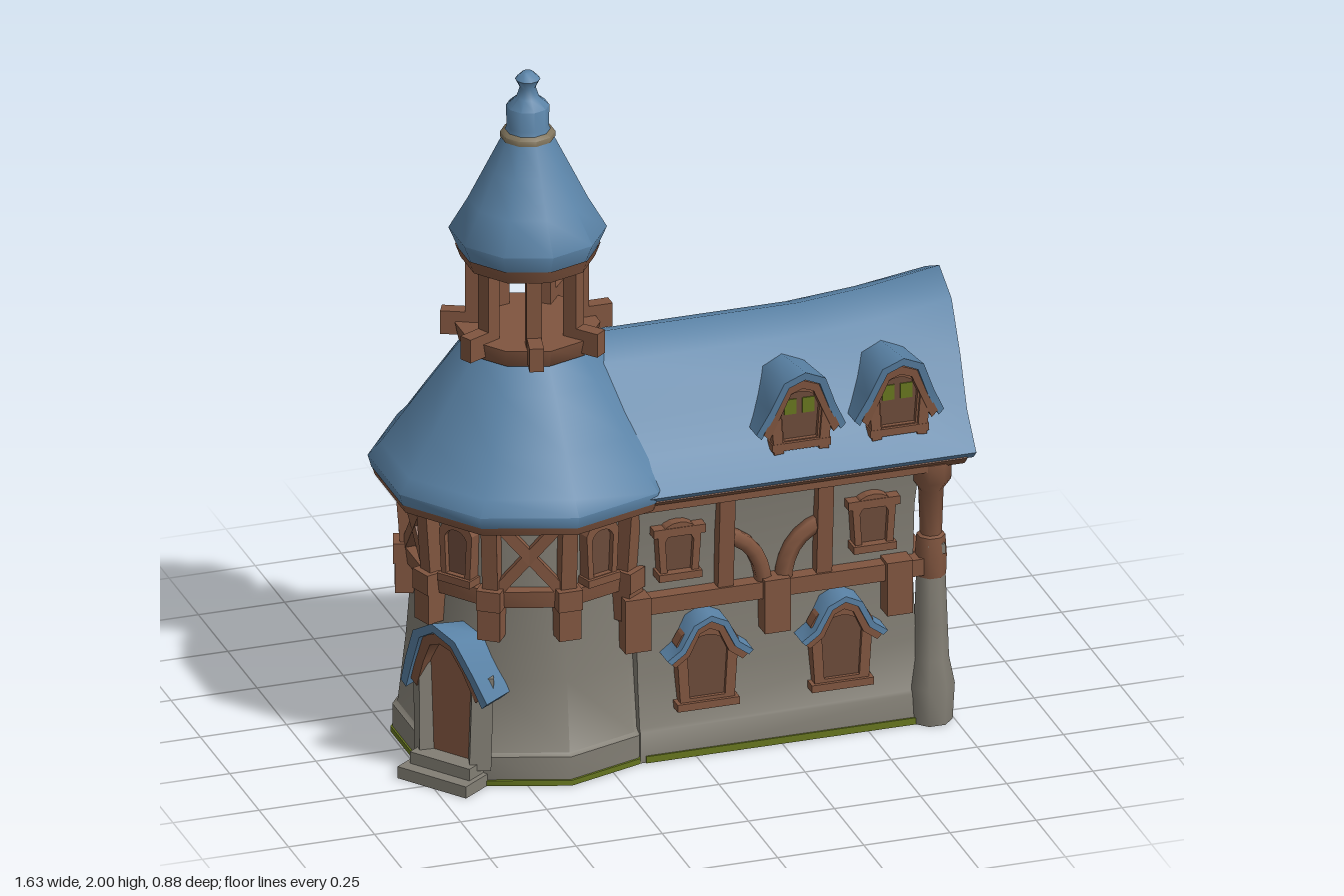
import * as THREE from 'three';
import { toCreasedNormals } from 'three/addons/utils/BufferGeometryUtils.js';

const mat = (name, color) => {
  const m = new THREE.MeshStandardMaterial({ color, side: THREE.DoubleSide });
  m.name = name;
  return m;
};
const slate = mat('blue slate', 0x5b84a8);
const timber = mat('brown timber', 0x80553f);
const pane = mat('dark wood', 0x6b4a3a);
const stone = mat('grey stone', 0x827e74);
const moss = mat('green moss', 0x66751f);
const rope = mat('tan band', 0x80745c);

const TX = -0.385; // tower axis
const CREASE = 1.0;

function add(parent, name, geo, m, x = 0, y = 0, z = 0) {
  const mesh = new THREE.Mesh(geo, m);
  mesh.name = name;
  mesh.position.set(x, y, z);
  parent.add(mesh);
  return mesh;
}
const box = (parent, name, w, h, d, m, x, y, z) => add(parent, name, new THREE.BoxGeometry(w, h, d), m, x, y, z);

function group(parent, name, x = 0, y = 0, z = 0, turn = 0) {
  const g = new THREE.Group();
  g.name = name;
  g.position.set(x, y, z);
  g.rotation.y = turn;
  parent.add(g);
  return g;
}

// Straight beam between two points of the parent's space
function beam(parent, name, a, b, w, d = w, m = timber) {
  const A = new THREE.Vector3(...a), B = new THREE.Vector3(...b);
  const mesh = new THREE.Mesh(new THREE.BoxGeometry(w, d, A.distanceTo(B)), m);
  mesh.name = name;
  mesh.position.copy(A).add(B).multiplyScalar(0.5);
  mesh.lookAt(B); // aimed before it gets a parent
  parent.add(mesh);
}

// Turned part, ten sides for the tower
function turned(parent, name, profile, m, x = TX, sides = 10) {
  const geo = new THREE.LatheGeometry(profile.map(([r, y]) => new THREE.Vector2(r, y)), sides);
  return add(parent, name, toCreasedNormals(geo, CREASE), m, x);
}

// Skin over a row of closed loops
function loft(rings, capped) {
  const n = rings[0].length, idx = [], last = (rings.length - 1) * n;
  for (let k = 0; k < rings.length - 1; k++) for (let i = 0; i < n; i++) {
    const a = k * n + i, b = k * n + (i + 1) % n;
    idx.push(a, b, b + n, a, b + n, a + n);
  }
  if (capped) for (let i = 0; i < n / 2 - 1; i++) {
    const q = [i, i + 1, n - 2 - i, n - 1 - i];
    idx.push(q[0], q[2], q[1], q[0], q[3], q[2]);
    const p = q.map(v => v + last);
    idx.push(p[0], p[1], p[2], p[0], p[2], p[3]);
  }
  const geo = new THREE.BufferGeometry();
  geo.setAttribute('position', new THREE.Float32BufferAttribute(rings.flat(2), 3));
  geo.setIndex(idx);
  return toCreasedNormals(geo, CREASE);
}

// Arched roof shell along z; stations are [z at eave, z at ridge, ridge lift]
function roof(parent, name, half, t, stations, m) {
  const mirror = pts => [...pts, ...pts.slice(0, -1).reverse().map(([x, y]) => [-x, y])];
  const inner = half.map(([x, y]) => (x ? [x - t * 0.7, y - t * 0.7] : [0, y - t]));
  const outline = [...mirror(half), ...mirror(inner).reverse()];
  const y0 = half[0][1], span = half[half.length - 1][1] - y0;
  const rings = stations.map(([z, zTop, lift]) => outline.map(([x, y]) => {
    const h = Math.max(0, (y - y0) / span);
    return [x, y + lift * h, z + (zTop - z) * h];
  }));
  return add(parent, name, loft(rings, true), m);
}

// Round-headed outline, standing on y = 0
function arch(w, h, Type = THREE.Shape) {
  const s = new Type(), r = w / 2;
  s.moveTo(-r * 0.86, 0);
  s.lineTo(r * 0.86, 0);
  s.lineTo(r, h - r * 0.7);
  s.quadraticCurveTo(r * 0.7, h, 0, h);
  s.quadraticCurveTo(-r * 0.7, h, -r, h - r * 0.7);
  s.closePath();
  return s;
}
const polygon = pts => new THREE.Shape(pts.map(p => new THREE.Vector2(...p)));
const slab = (shape, depth) => new THREE.ExtrudeGeometry(shape, { depth, bevelEnabled: false, curveSegments: 4 });

function windowUnit(parent, name, x, y, z, w, h, depth = 0.05) {
  const g = group(parent, name, x, y, z);
  const frame = arch(w, h);
  const hole = arch(w * 0.66, h * 0.72, THREE.Path).getPoints(4).map(p => p.add(new THREE.Vector2(0, h * 0.12)));
  frame.holes.push(new THREE.Path(hole));
  add(g, 'windowFrame', slab(frame, depth), timber);
  add(g, 'windowPane', slab(arch(w * 0.8, h * 0.9), 0.009), pane, 0, 0.01, depth * 0.5);
  box(g, 'windowSill', w, 0.022, depth + 0.02, timber, 0, 0.01, depth / 2);
  return g;
}

function buildTower(root) {
  const g = group(root, 'tower');
  turned(g, 'towerWall', [[0.372, 0], [0.372, 0.085], [0.358, 0.092], [0.335, 0.3], [0.318, 0.52], [0.33, 0.82]], stone);
  turned(g, 'towerMoss', [[0.377, 0], [0.377, 0.016], [0.368, 0.018]], moss);
  turned(g, 'towerBeltBeam', [[0.31, 0.525], [0.342, 0.525], [0.348, 0.575], [0.31, 0.58]], timber);
  turned(g, 'towerEaveBeam', [[0.31, 0.775], [0.42, 0.78], [0.43, 0.81]], timber);
  turned(g, 'towerRoof', [[0.43, 0.805], [0.44, 0.84], [0.405, 0.88], [0.335, 0.98], [0.235, 1.12], [0.175, 1.2]], slate);
  // Posts and brackets on the corners, windows and crossed braces in turn between them
  for (let k = 0; k < 10; k++) {
    if (k !== 2 && k !== 3) {
      const c = group(g, 'towerCorner', TX, 0, 0, k * Math.PI / 5);
      beam(c, 'towerPost', [0, 0.57, 0.328], [0, 0.79, 0.345], 0.045);
      box(c, 'towerBracket', 0.065, 0.13, 0.06, timber, 0, 0.5, 0.335);
      box(c, 'towerBeltKnot', 0.07, 0.06, 0.05, timber, 0, 0.555, 0.345);
    }
    if (k === 2) continue;
    const f = group(g, 'towerBay', TX, 0, 0, (k + 0.5) * Math.PI / 5);
    if (k % 2 === 0) windowUnit(f, 'towerWindow', 0, 0.58, 0.295, 0.11, 0.19);
    else for (const s of [-1, 1]) beam(f, 'crossBrace', [-0.085 * s, 0.58, 0.315], [0.085 * s, 0.78, 0.325], 0.032);
  }
  // Open belfry
  turned(g, 'belfryFloor', [[0.15, 1.17], [0.19, 1.19], [0.2, 1.24], [0, 1.24]], timber);
  for (let k = 0; k < 7; k++) {
    const c = group(g, 'belfryBay', TX, 0, 0, Math.PI / 2 + k * Math.PI * 2 / 7);
    beam(c, 'belfryPost', [0, 1.23, 0.15], [0, 1.46, 0.15], 0.042);
    box(c, 'belfryBracket', 0.04, 0.07, 0.07, timber, 0, 1.235, 0.205);
  }
  turned(g, 'belfryTopRing', [[0.13, 1.44], [0.185, 1.44], [0.2, 1.48]], timber);
  turned(g, 'spire', [[0, 1.475], [0.19, 1.465], [0.218, 1.53], [0.165, 1.62], [0.115, 1.72], [0.07, 1.81],
    [0.058, 1.84], [0.06, 1.9], [0.032, 1.925], [0.022, 1.955], [0.035, 1.98], [0.015, 2], [0, 2]], slate);
  turned(g, 'spireBand', [[0.065, 1.8], [0.076, 1.805], [0.076, 1.82], [0.06, 1.83]], rope);

  // Entrance with steps and hood
  const d = group(g, 'entrance', TX, 0, 0, -0.3 * Math.PI);
  box(d, 'lowerStep', 0.23, 0.035, 0.135, stone, 0, 0.0175, 0.39);
  box(d, 'upperStep', 0.2, 0.07, 0.1, stone, 0, 0.035, 0.37);
  for (const s of [-1, 1]) beam(d, 'doorJamb', [0.092 * s, 0.05, 0.36], [0.098 * s, 0.33, 0.355], 0.045, 0.06, stone);
  add(d, 'door', slab(arch(0.16, 0.34), 0.04), timber, 0, 0.06, 0.325);
  roof(d, 'doorArch', [[0.12, 0.28], [0.085, 0.36], [0.055, 0.41], [0, 0.43]], 0.03, [[0.3, 0.3, 0], [0.39, 0.43, 0.03]], timber);
  roof(d, 'doorHood', [[0.145, 0.27], [0.115, 0.34], [0.07, 0.43], [0, 0.465]], 0.025, [[0.25, 0.29, -0.02], [0.4, 0.46, 0.035]], slate);
}

function buildHall(root) {
  const g = group(root, 'hall');
  const levels = [[0, 0.302, 0.665], [0.09, 0.3, 0.662], [0.1, 0.294, 0.657], [0.25, 0.275, 0.648],
    [0.45, 0.266, 0.642], [0.65, 0.272, 0.645], [0.81, 0.295, 0.655]];
  add(g, 'hallWalls', loft(levels.map(([y, z, x]) => [[x, y, z], [x, y, -z], [-0.16, y, -z], [-0.16, y, z]])), stone);
  for (const s of [-1, 1]) box(g, 'hallMoss', 0.79, 0.02, 0.008, moss, 0.25, 0.01, 0.303 * s);
  box(g, 'endMoss', 0.008, 0.02, 0.42, moss, 0.666, 0.01, 0);

  // Main roof over a timber lining
  const r = group(g, 'hallRoofGroup', 0, 0, 0, Math.PI / 2);
  const ends = e => [[-0.25, -0.25, 0], [0.4, 0.4, 0], [0.6, 0.6, 0.018], [0.795 - e, 0.81 - e, 0.052]];
  roof(r, 'hallRoof', [[0.36, 0.825], [0.27, 0.905], [0.2, 1.02], [0.11, 1.135], [0, 1.18]], 0.035, ends(0), slate);
  roof(r, 'roofLining', [[0.345, 0.805], [0.25, 0.88], [0.18, 0.99], [0.1, 1.1], [0, 1.145]], 0.04, ends(0.02), timber);

  // Gable end
  add(r, 'gablePanel', slab(polygon([[-0.29, 0.805], [0.29, 0.805], [0.2, 0.95], [0.1, 1.09], [0, 1.15], [-0.1, 1.09], [-0.2, 0.95]]), 0.03),
    timber, 0, 0, 0.635);
  for (const s of [-1, 1]) {
    const patch = [[0.02, 0.95], [0.1, 0.95], [0.12, 0.9], [0.07, 0.87]].map(([x, y]) => [x * s, y]);
    add(r, 'gablePlaster', slab(polygon(patch), 0.008), stone, 0, 0, 0.665);
    beam(r, 'gableBrace', [0.22 * s, 0.84, 0.675], [0.13 * s, 0.97, 0.675], 0.04);
  }
  box(r, 'gableUpperTie', 0.38, 0.045, 0.06, timber, 0, 0.965, 0.68);
  box(r, 'gableLowerTie', 0.5, 0.045, 0.06, timber, 0, 0.835, 0.68);
  box(r, 'endBeltBeam', 0.52, 0.055, 0.05, timber, 0, 0.475, 0.66);

  // Corner posts: stone foot, timber top
  for (const s of [-1, 1]) {
    const p = group(g, 'cornerPost', 0.69, 0, 0.28 * s, Math.PI / 8);
    turned(p, 'postFoot', [[0.06, 0], [0.066, 0.11], [0.05, 0.19], [0.046, 0.3], [0.04, 0.46]], stone, 0, 8);
    turned(p, 'postBand', [[0.02, 0.435], [0.042, 0.44], [0.044, 0.5], [0.04, 0.56], [0.02, 0.57]], timber, 0, 8);
    turned(p, 'postShaft', [[0.03, 0.55], [0.035, 0.7], [0.056, 0.73], [0.058, 0.79], [0, 0.8]], timber, 0, 8);
    box(g, 'postPatch', 0.05, 0.03, 0.06, stone, 0.695, 0.525, 0.285 * s);
  }

  // Front framing
  box(g, 'frontBeltBeam', 0.84, 0.05, 0.05, timber, 0.24, 0.475, 0.285);
  for (const x of [-0.175, 0.23, 0.585]) box(g, 'frontBracket', 0.075, 0.16, 0.065, timber, x, 0.43, 0.295);
  box(g, 'frontTopBeam', 0.85, 0.03, 0.05, timber, 0.24, 0.785, 0.305);
  for (const [x, s] of [[0.087, 1], [0.373, -1]]) {
    beam(g, 'frontPost', [x, 0.49, 0.28], [x, 0.785, 0.3], 0.045);
    const curve = new THREE.QuadraticBezierCurve3(new THREE.Vector3(x, 0.65, 0.285),
      new THREE.Vector3(x + 0.11 * s, 0.62, 0.285), new THREE.Vector3(x + 0.115 * s, 0.48, 0.285));
    add(g, 'curvedBrace', new THREE.TubeGeometry(curve, 6, 0.025, 6), timber);
  }
  for (const x of [-0.05, 0.515]) {
    windowUnit(g, 'upperWindow', x, 0.55, 0.262, 0.125, 0.17);
    box(g, 'windowLintel', 0.15, 0.025, 0.04, timber, x, 0.692, 0.294);
  }

  // Ground-floor windows under small hoods
  for (const x of [0.03, 0.42]) {
    const w = windowUnit(g, 'lowerWindow', x, 0.15, 0.275, 0.18, 0.26, 0.04);
    roof(w, 'windowHoodFrame', [[0.115, 0.155], [0.075, 0.185], [0.045, 0.25], [0, 0.27]], 0.025, [[0, 0, 0], [0.055, 0.06, 0]], timber);
    roof(w, 'windowHood', [[0.125, 0.165], [0.085, 0.195], [0.05, 0.265], [0, 0.29]], 0.018, [[-0.02, -0.02, 0], [0.065, 0.075, 0]], slate);
  }

  // Dormers
  for (const x of [0.305, 0.59]) {
    const w = windowUnit(g, 'dormer', x, 0.89, 0.255, 0.17, 0.2, 0.045);
    for (const s of [-1, 1]) {
      box(w, 'dormerGlass', 0.035, 0.045, 0.006, moss, 0.026 * s, 0.12, 0.032);
      beam(w, 'dormerPost', [0.065 * s, -0.01, 0.04], [0.075 * s, 0.12, 0.04], 0.028);
    }
    roof(w, 'dormerLining', [[0.11, 0.055], [0.085, 0.11], [0.05, 0.19], [0, 0.21]], 0.025, [[-0.1, -0.14, -0.02], [0.055, 0.065, 0]], timber);
    roof(w, 'dormerHood', [[0.13, 0.055], [0.095, 0.12], [0.06, 0.2], [0, 0.225]], 0.022, [[-0.1, -0.15, -0.02], [0.05, 0.09, 0.02]], slate);
  }
}

export function createModel() {
  const root = new THREE.Group();
  root.name = 'towerHouse';
  buildTower(root);
  buildHall(root);
  return root;
}
